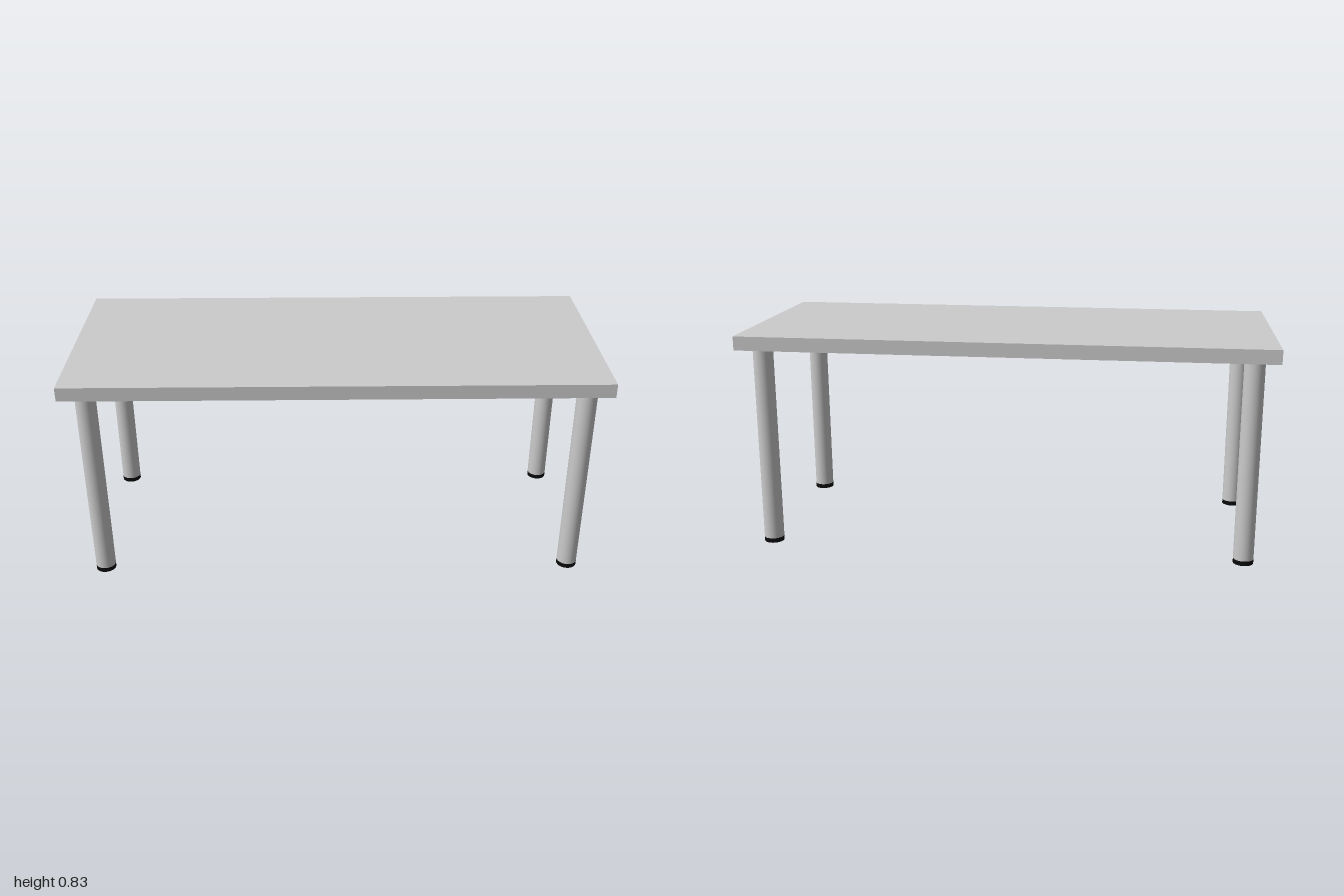
import * as THREE from 'three';

const TOP_Y = 0.833, UNDERSIDE_Y = 0.78, FOOT_H = 0.018, LEG_R = 0.038;

export function createModel() {
  const table = new THREE.Group();
  table.name = 'table';
  const grey = new THREE.MeshStandardMaterial({ color: 0xcccccc });
  const black = new THREE.MeshStandardMaterial({ color: 0x0a0a0a });

  function add(parent, name, geometry, material, y) {
    const mesh = new THREE.Mesh(geometry, material);
    mesh.name = name;
    mesh.position.y = y;
    parent.add(mesh);
  }

  // Rectangular slab
  const thickness = TOP_Y - UNDERSIDE_Y;
  add(table, 'tabletop', new THREE.BoxGeometry(2, thickness, 0.832), grey, UNDERSIDE_Y + thickness / 2);

  // Four round legs, each on a black foot cap
  const legH = UNDERSIDE_Y - FOOT_H;
  const legGeometry = new THREE.CylinderGeometry(LEG_R, LEG_R, legH, 48);
  const footGeometry = new THREE.CylinderGeometry(LEG_R, LEG_R, FOOT_H, 48);
  for (const [zName, z] of [['front', 0.338], ['back', -0.334]]) {
    for (const [xName, x] of [['Left', 0.917], ['Right', -0.914]]) {
      const leg = new THREE.Group();
      leg.name = `${zName}${xName}Leg`;
      leg.position.set(x, 0, z);
      add(leg, 'legTube', legGeometry, grey, FOOT_H + legH / 2);
      add(leg, 'footCap', footGeometry, black, FOOT_H / 2);
      table.add(leg);
    }
  }
  return table;
}
